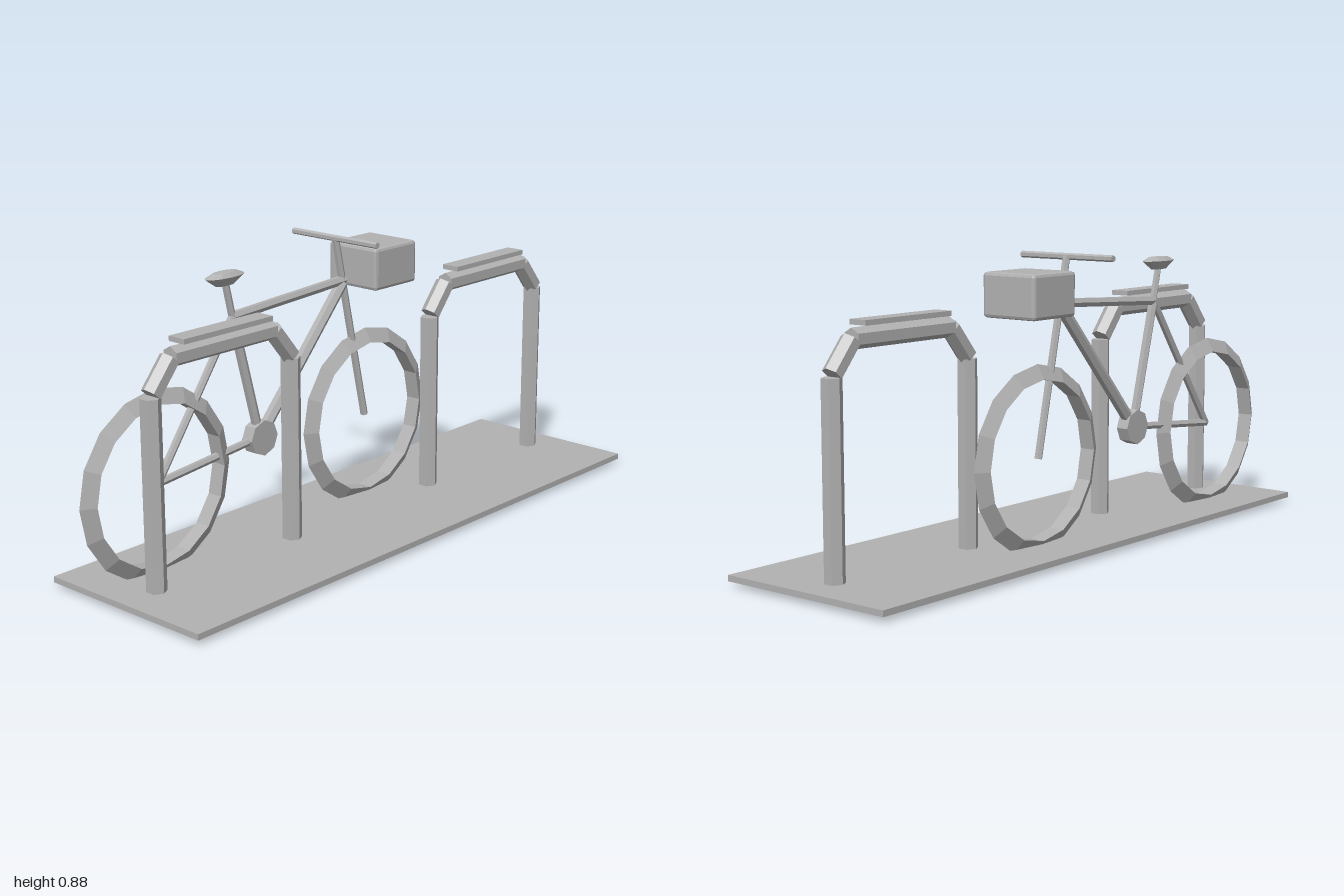
import * as THREE from 'three';
import { RoundedBoxGeometry } from 'three/addons/geometries/RoundedBoxGeometry.js';

const grey = new THREE.MeshStandardMaterial({ color: 0xb2b2b2, flatShading: true });
grey.name = 'grey';
const BIKE_Z = -0.122;

function part(parent, name, geometry, x, y, z) {
  const mesh = new THREE.Mesh(geometry, grey);
  mesh.name = name;
  mesh.position.set(x, y, z);
  parent.add(mesh);
  return mesh;
}

// Straight tube from a to b; turn spins it about its own axis
function tube(parent, name, a, b, radius, sides = 6, turn = 0) {
  const from = new THREE.Vector3(...a), to = new THREE.Vector3(...b);
  const dir = to.clone().sub(from);
  const geometry = new THREE.CylinderGeometry(radius, radius, dir.length(), sides, 1, false, turn);
  const mid = from.add(to).multiplyScalar(0.5);
  const mesh = part(parent, name, geometry, mid.x, mid.y, mid.z);
  mesh.quaternion.setFromUnitVectors(new THREE.Vector3(0, 1, 0), dir.normalize());
  return mesh;
}

// Hoop stand with two legs, angled corners, a top bar and a flat plate
function createStand(x) {
  const stand = new THREE.Group();
  stand.name = 'parkingStand';
  stand.position.x = x;
  for (const s of [-1, 1]) {
    tube(stand, 'standLeg', [s * 0.271, 0.03, 0], [s * 0.271, 0.595, 0], 0.03);
    tube(stand, 'standCorner', [s * 0.269, 0.603, 0], [s * 0.197, 0.69, 0], 0.03, 6, Math.PI / 6);
  }
  tube(stand, 'standTopBar', [-0.195, 0.692, 0], [0.195, 0.692, 0], 0.03, 6, Math.PI / 6);
  part(stand, 'standPlate', new THREE.BoxGeometry(0.342, 0.015, 0.06), 0, 0.734, 0);
  return stand;
}

function createBicycle() {
  const bike = new THREE.Group();
  bike.name = 'bicycle';
  bike.position.z = BIKE_Z;

  // Triangular section rims
  for (const [name, x] of [['rearWheel', -0.715], ['frontWheel', 0.168]]) {
    part(bike, name, new THREE.TorusGeometry(0.254, 0.029, 3, 16), x, 0.288, 0);
  }

  // Frame tubes
  const crank = [-0.305, 0.328, 0], axle = [-0.712, 0.29, 0], cluster = [-0.408, 0.716, 0];
  tube(bike, 'downTube', crank, [0.062, 0.733, 0], 0.019);
  tube(bike, 'topTube', cluster, [0.07, 0.742, 0], 0.015);
  tube(bike, 'seatTube', crank, cluster, 0.015);
  tube(bike, 'seatPost', cluster, [-0.434, 0.825, 0], 0.011);
  tube(bike, 'seatStay', cluster, axle, 0.012);
  tube(bike, 'chainStay', crank, axle, 0.012);
  tube(bike, 'fork', [0.032, 0.88, 0], [0.165, 0.29, 0], 0.012);
  tube(bike, 'handlebar', [0.031, 0.877, -0.171], [0.031, 0.877, 0.17], 0.01);
  tube(bike, 'crankDisc', [-0.303, 0.328, -0.02], [-0.303, 0.328, 0.02], 0.055, 8);

  // Oval saddle
  const profile = [[0, -0.02], [0.035, -0.02], [0.075, 0.006], [0.045, 0.018], [0, 0.02]]
    .map(([r, y]) => new THREE.Vector2(r, y));
  const saddle = part(bike, 'saddle', new THREE.LatheGeometry(profile, 12), -0.435, 0.834, 0);
  saddle.scale.z = 0.4;

  // Front carrier box with chamfered edges
  part(bike, 'carrierBox', new RoundedBoxGeometry(0.19, 0.132, 0.193, 1, 0.01), 0.205, 0.777, 0);
  return bike;
}

export function createModel() {
  const model = new THREE.Group();
  model.name = 'bicycleParking';
  part(model, 'basePlate', new THREE.BoxGeometry(1.96, 0.018, 0.588), 0.019, 0.029, 0);
  model.add(createStand(-0.567), createStand(0.609), createBicycle());
  return model;
}
